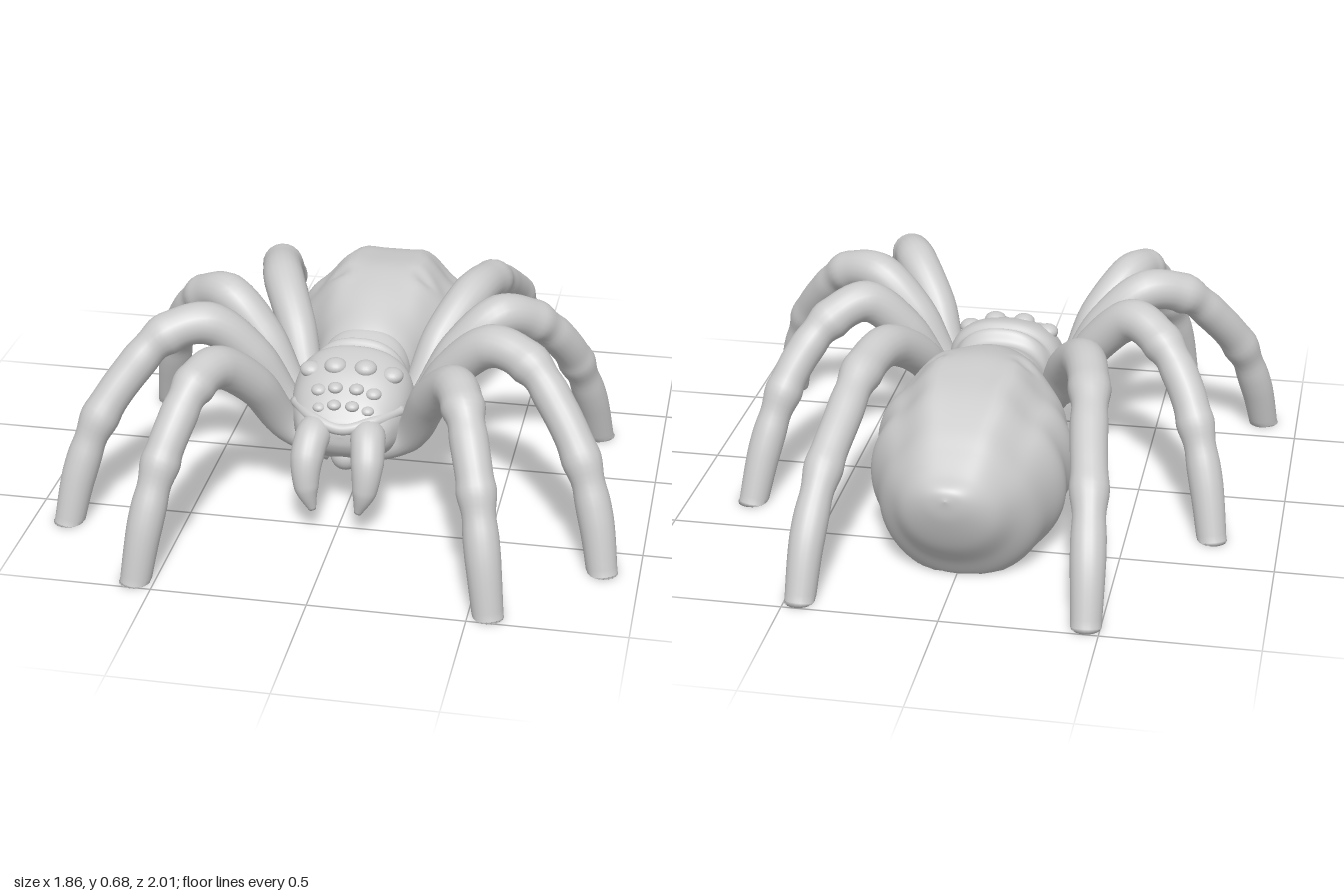
import * as THREE from 'three';

const material = new THREE.MeshStandardMaterial({ color: 0xcccccc });
const gauss = (d, width) => Math.exp(-((d / width) ** 2));
const signedPow = (v, p) => Math.sign(v) * Math.abs(v) ** p;

// Closed skin over rows x cols points; pointAt(row, angle) runs counter-clockwise around the path
function skin(name, rows, cols, pointAt) {
  const positions = [], index = [];
  for (let i = 0; i <= rows; i++) {
    for (let j = 0; j < cols; j++) {
      const p = pointAt(i, (j / cols) * Math.PI * 2);
      positions.push(p.x, Math.max(p.y, 0), p.z); // flat where it rests on the floor
      if (i === rows) continue;
      const a = i * cols + j, b = i * cols + ((j + 1) % cols);
      index.push(a, b, a + cols, b, b + cols, a + cols);
    }
  }
  const geometry = new THREE.BufferGeometry();
  geometry.setAttribute('position', new THREE.Float32BufferAttribute(positions, 3));
  geometry.setIndex(index);
  geometry.computeVertexNormals();
  const mesh = new THREE.Mesh(geometry, material);
  mesh.name = name;
  return mesh;
}

// Body part from sections [z, half width, bottom, top], ordered back to front
function loft(name, sections, roundness, detail) {
  const sizes = new THREE.CatmullRomCurve3(
    sections.map(([, w, b, t]) => new THREE.Vector3(w, b, t)), false, 'catmullrom');
  const depth = new THREE.CatmullRomCurve3(
    sections.map(([z]) => new THREE.Vector3(0, 0, z)), false, 'catmullrom');
  const rows = 100;
  return skin(name, rows, 80, (i, angle) => {
    const s = sizes.getPoint(i / rows), z = depth.getPoint(i / rows).z;
    const p = new THREE.Vector3(
      s.x * signedPow(Math.cos(angle), roundness),
      (s.y + s.z) / 2 + ((s.z - s.y) / 2) * signedPow(Math.sin(angle), roundness), z);
    detail(p, Math.sin(angle));
    return p;
  });
}

// Tapering limb along points, one radius per point, swollen at the listed joints
function limb(name, points, radii, joints = []) {
  const curve = new THREE.CatmullRomCurve3(points, false, 'centripetal');
  const last = points.length - 1, rows = last * 9;
  const run = points[last].clone().sub(points[0]).setY(0);
  const across = new THREE.Vector3(0, 1, 0).cross(run).normalize();
  return skin(name, rows + 2, 20, (row, angle) => {
    const u = THREE.MathUtils.clamp((row - 1) / rows, 0, 1), k = u * last;
    const i = Math.min(Math.floor(k), last - 1);
    let r = THREE.MathUtils.lerp(radii[i], radii[i + 1], k - i);
    for (const j of joints) r += 0.006 * gauss(k - j, 0.2) - 0.005 * gauss(k - j - 0.4, 0.2);
    if (row === 0 || row === rows + 2) r = 0; // end caps
    const tangent = curve.getTangent(u);
    const side = across.clone().addScaledVector(tangent, -across.dot(tangent)).normalize();
    const up = tangent.clone().cross(side);
    return curve.getPoint(u).addScaledVector(side, r * Math.cos(angle)).addScaledVector(up, r * Math.sin(angle));
  });
}

function ball(name, [x, y, z], sx, sy, sz) {
  const mesh = new THREE.Mesh(new THREE.SphereGeometry(1, 20, 14), material);
  mesh.name = name;
  mesh.position.set(x, y, z);
  mesh.scale.set(sx, sy, sz);
  return mesh;
}

const mirrored = (points, side) => points.map(([x, y, z]) => new THREE.Vector3(x * side, y, z));

// Leg paths from under the body, over the knee, to the floor
const LEGS = {
  frontLeg: [[0.05, 0.2, 0.33], [0.2, 0.27, 0.33], [0.29, 0.46, 0.43], [0.385, 0.57, 0.55], [0.43, 0.555, 0.66],
    [0.47, 0.46, 0.76], [0.5, 0.36, 0.83], [0.535, 0.18, 0.91], [0.565, -0.03, 0.96]],
  secondLeg: [[0.05, 0.195, 0.26], [0.2, 0.28, 0.245], [0.33, 0.49, 0.27], [0.47, 0.61, 0.31], [0.6, 0.585, 0.37],
    [0.7, 0.48, 0.44], [0.79, 0.34, 0.52], [0.85, 0.16, 0.58], [0.885, -0.03, 0.63]],
  thirdLeg: [[0.05, 0.195, 0.2], [0.2, 0.28, 0.16], [0.33, 0.49, 0.11], [0.46, 0.605, 0.06], [0.57, 0.56, -0.02],
    [0.65, 0.46, -0.1], [0.7, 0.35, -0.17], [0.75, 0.17, -0.25], [0.785, -0.03, -0.32]],
  rearLeg: [[0.05, 0.175, 0.17], [0.17, 0.27, 0.09], [0.25, 0.46, -0.04], [0.33, 0.56, -0.2], [0.375, 0.54, -0.38],
    [0.4, 0.45, -0.56], [0.425, 0.35, -0.71], [0.445, 0.18, -0.86], [0.455, -0.03, -0.955]],
};
const LEG_RADII = [0.045, 0.055, 0.066, 0.071, 0.065, 0.061, 0.059, 0.057, 0.048];

export function createModel() {
  const model = new THREE.Group();
  model.name = 'spider';

  // Abdomen with two ridges along the back, lumpy flanks and a pair of dimples
  model.add(loft('abdomen', [
    [-0.875, 0, 0.35, 0.35], [-0.86, 0.07, 0.27, 0.385], [-0.81, 0.145, 0.16, 0.41], [-0.74, 0.2, 0.07, 0.455],
    [-0.66, 0.25, -0.03, 0.505], [-0.54, 0.305, -0.06, 0.56], [-0.42, 0.32, -0.06, 0.585], [-0.3, 0.31, -0.05, 0.595],
    [-0.18, 0.26, -0.01, 0.575], [-0.08, 0.2, 0.05, 0.54], [0, 0.175, 0.12, 0.5],
    [0.06, 0.15, 0.15, 0.45], [0.1, 0.08, 0.2, 0.4], [0.11, 0, 0.3, 0.3],
  ], 0.96, (p, up) => {
    const x = Math.abs(p.x), middle = gauss(p.z + 0.42, 0.32);
    const ridge = 0.13 + 0.1 * (p.z + 0.4);
    p.x *= 1 + 0.025 * middle * Math.sin(p.z * 38 + p.y * 9);
    if (up > 0) {
      p.y += up * middle * (0.025 * gauss(x - ridge, 0.05) - 0.02 * gauss(x - ridge - 0.09, 0.04));
      p.y -= up * 0.025 * gauss(Math.hypot(x - 0.15, p.z + 0.28), 0.03);
    }
  }));

  // Head and thorax, with grooves across the back of the carapace
  model.add(loft('carapace', [
    [-0.06, 0, 0.3, 0.3], [-0.04, 0.1, 0.2, 0.42], [0, 0.15, 0.17, 0.49], [0.08, 0.165, 0.17, 0.47],
    [0.12, 0.17, 0.165, 0.495], [0.2, 0.2, 0.16, 0.51], [0.3, 0.195, 0.165, 0.48], [0.38, 0.17, 0.19, 0.425],
    [0.43, 0.14, 0.23, 0.38], [0.455, 0.08, 0.27, 0.35], [0.46, 0, 0.31, 0.31],
  ], 0.85, (p, up) => {
    if (up > 0) p.y += up * (0.015 * gauss(p.z - 0.12, 0.02) - 0.015 * gauss(p.z - 0.155, 0.015));
  }));
  model.add(limb('browRidge',
    mirrored([[-0.18, 0.36, 0.32], [-0.1, 0.355, 0.42], [0, 0.335, 0.45], [0.1, 0.355, 0.42], [0.18, 0.36, 0.32]], 1),
    [0.018, 0.02, 0.02, 0.02, 0.018]));
  model.add(ball('mouth', [0, 0.2, 0.37], 0.05, 0.05, 0.05));

  for (const side of [1, -1]) {
    const label = side > 0 ? 'left' : 'right';

    // Eyes in three rows
    for (const [x, y, z, r] of [[0.05, 0.478, 0.28, 0.038], [0.135, 0.452, 0.265, 0.038],
      [0.035, 0.438, 0.36, 0.025], [0.09, 0.423, 0.355, 0.027], [0.03, 0.4, 0.41, 0.023], [0.08, 0.385, 0.405, 0.022]]) {
      model.add(ball(`${label}Eye`, [x * side, y, z], r, r * 0.7, r));
    }

    // Fangs
    model.add(limb(`${label}Fang`,
      mirrored([[0.08, 0.3, 0.37], [0.09, 0.31, 0.45], [0.1, 0.25, 0.515], [0.095, 0.16, 0.545], [0.075, 0.085, 0.55]], side),
      [0.05, 0.058, 0.054, 0.04, 0.012]));

    // Legs
    for (const [name, points] of Object.entries(LEGS)) {
      model.add(limb(`${label} ${name}`, mirrored(points, side), LEG_RADII, [4, 6]));
    }
  }
  return model;
}
